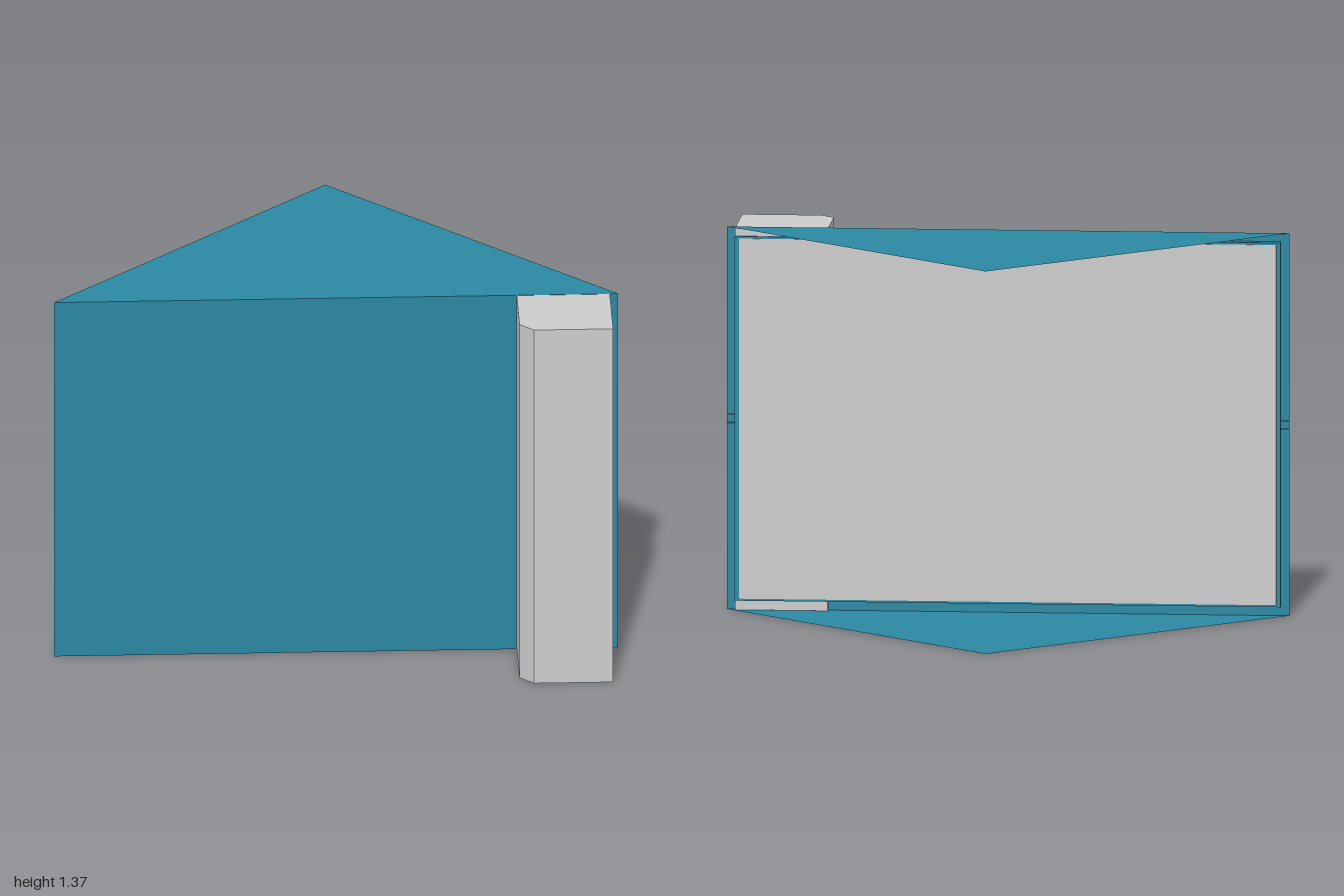
import * as THREE from 'three';

const H = 1.37, FRONT = 0.345, BACK = -0.65;

export function createModel() {
  const model = new THREE.Group();
  const blue = new THREE.MeshStandardMaterial({ color: 0x2a87a2, side: THREE.DoubleSide, flatShading: true });
  const grey = new THREE.MeshStandardMaterial({ color: 0xcccccc, flatShading: true });

  const add = (name, geometry, material, x = 0, y = 0, z = 0) => {
    const mesh = new THREE.Mesh(geometry, material);
    mesh.name = name;
    mesh.position.set(x, y, z);
    model.add(mesh);
  };
  // Plan outline given as [x, z] pairs
  const plan = (points) => new THREE.Shape(points.map(([x, z]) => new THREE.Vector2(x, -z)));

  // Thin triangular top and bottom sheets
  const triangle = new THREE.ShapeGeometry(plan([[-1, FRONT], [1, FRONT], [0, BACK]])).rotateX(-Math.PI / 2);
  add('topSheet', triangle, blue, 0, H, 0);
  add('bottomSheet', triangle, blue);

  // Front sheet, with the inset slab and its grey lining behind it
  add('frontSheet', new THREE.PlaneGeometry(2, H), blue, 0, H / 2, FRONT);
  add('innerSlab', new THREE.BoxGeometry(1.94, 1.305, 0.033), blue, 0, 0.6875, 0.3275);
  add('backLining', new THREE.BoxGeometry(1.91, 1.29, 0.004), grey, 0, 0.6875, 0.311);

  // Small paired tabs at mid height on both edges
  const tab = new THREE.PlaneGeometry(0.03, 0.03).rotateX(-Math.PI / 2);
  for (const side of [-1, 1]) {
    for (const y of [0.67, 0.7]) add('edgeTab', tab, blue, side * 0.985, y, 0.33);
  }

  // Full-height post with one bevelled corner, passing through the front sheet
  const post = new THREE.ExtrudeGeometry(
    plan([[0.64, 0.32], [0.64, 0.6], [0.69, 0.65], [0.97, 0.65], [0.97, 0.32]]),
    { depth: H - 0.002, bevelEnabled: false }
  ).rotateX(-Math.PI / 2);
  add('post', post, grey, 0, 0.001, 0);

  return model;
}
